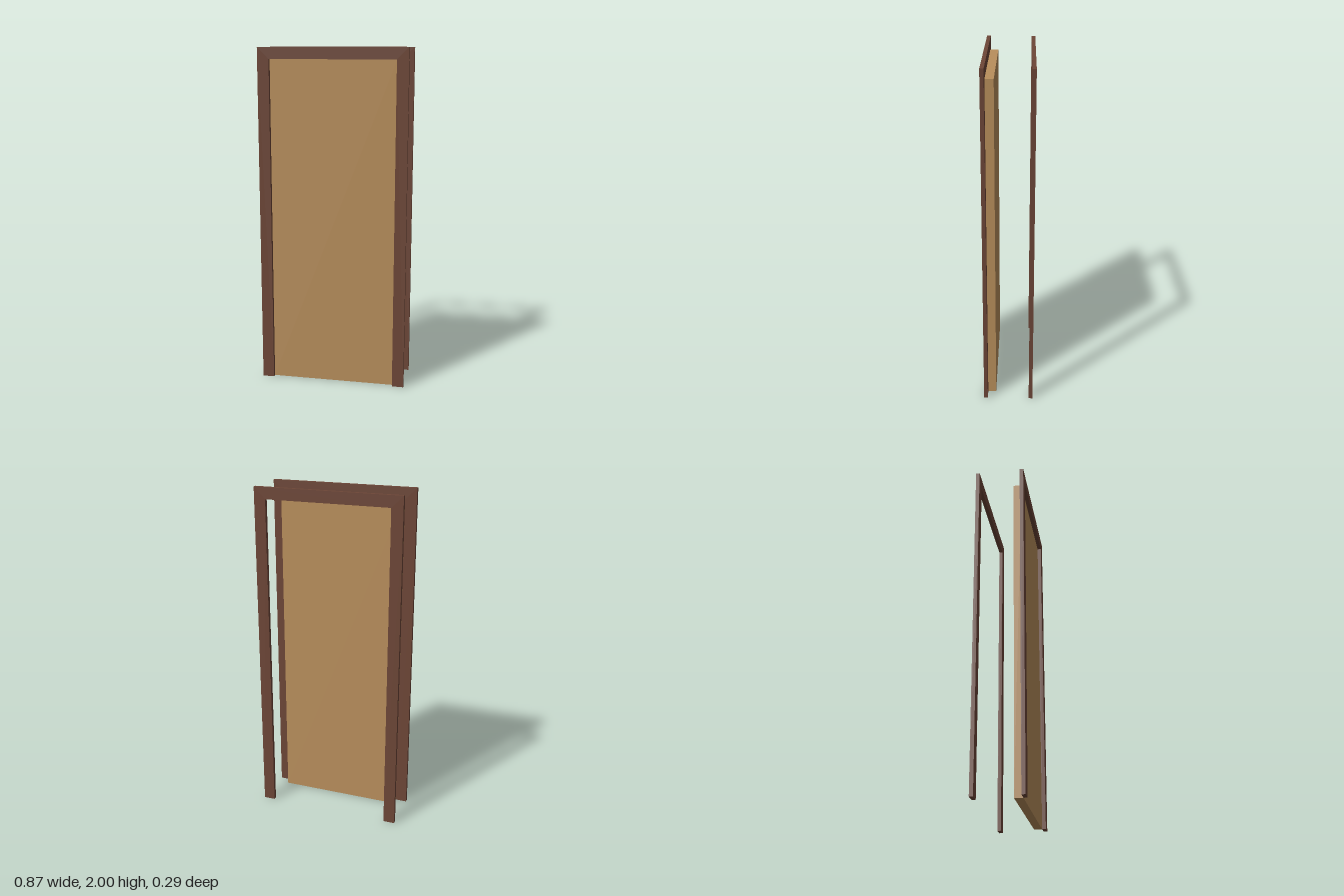
import * as THREE from 'three';

const W = 0.436, H = 2;          // casing half width and height
const BAR = 0.068;               // casing board width
const T = 0.022;                 // casing thickness
const FRONT = 0.145;             // outermost depth, front and back
const DOOR_BACK = 0.075;         // rear face of the door leaf

export function createModel() {
  const model = new THREE.Group();
  model.name = 'door';
  const darkWood = new THREE.MeshStandardMaterial({ color: 0x6d4637 });
  const lightWood = new THREE.MeshStandardMaterial({ color: 0xb98f5c });

  // U-shaped casing, open at the floor
  const inner = W - BAR, top = H - BAR;
  const outline = new THREE.Shape([
    [-W, 0], [-inner, 0], [-inner, top], [inner, top],
    [inner, 0], [W, 0], [W, H], [-W, H],
  ].map(([x, y]) => new THREE.Vector2(x, y)));
  const casing = new THREE.ExtrudeGeometry(outline, { depth: T, bevelEnabled: false });

  for (const [name, z] of [['frontCasing', FRONT - T], ['backCasing', -FRONT]]) {
    const mesh = new THREE.Mesh(casing, darkWood);
    mesh.name = name;
    mesh.position.z = z;
    model.add(mesh);
  }

  // Door leaf, sitting right behind the front casing
  const depth = FRONT - T - DOOR_BACK;
  const leaf = new THREE.Mesh(new THREE.BoxGeometry(inner * 2, top, depth), lightWood);
  leaf.name = 'doorLeaf';
  leaf.position.set(0, top / 2, DOOR_BACK + depth / 2);
  model.add(leaf);

  return model;
}
